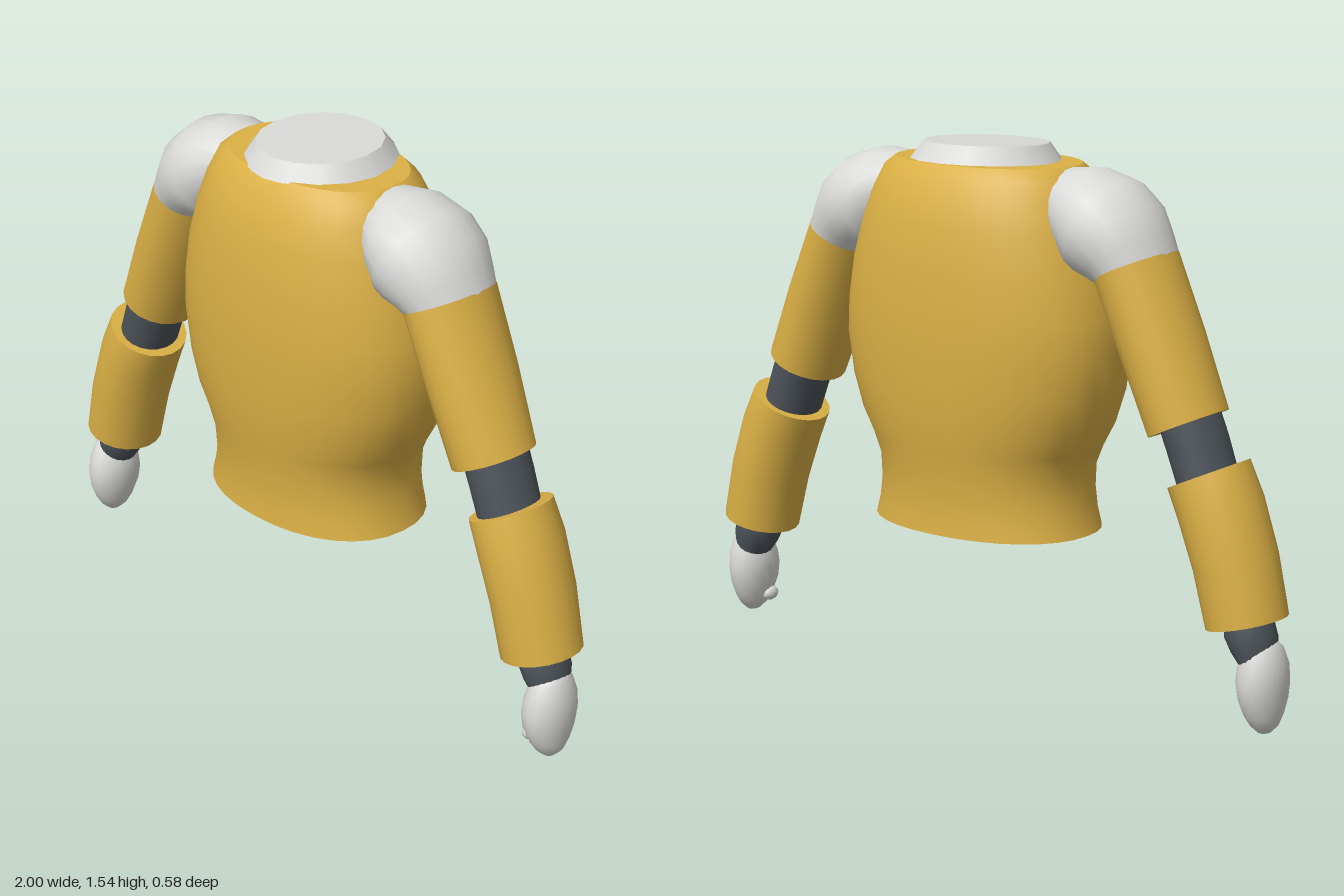
import * as THREE from 'three';

const flat = (name, color) => {
  const m = new THREE.MeshStandardMaterial({ color });
  m.name = name;
  return m;
};

// Capped loft. Each section: [x, y, angle of its in-plane radius in degrees, in-plane radius, z radius, z offset]
function loft(sections, { sides = 20, power = 2, side = 1 } = {}) {
  const pos = [], idx = [];
  const bend = (v) => Math.sign(v) * Math.pow(Math.abs(v), 2 / power);
  const ring = ([x, y, deg, r, rz, z = 0]) => {
    const a = THREE.MathUtils.degToRad(deg);
    for (let j = 0; j < sides; j++) {
      const t = (j / sides) * Math.PI * 2;
      const u = bend(Math.cos(t)) * r;
      pos.push(side * (x + Math.cos(a) * u), y + Math.sin(a) * u, z + bend(Math.sin(t)) * rz);
    }
  };
  const tri = (a, b, c) => (side > 0 ? idx.push(a, b, c) : idx.push(a, c, b));
  sections.forEach(ring);
  for (let i = 0; i < sections.length - 1; i++) {
    for (let j = 0; j < sides; j++) {
      const k = (j + 1) % sides;
      const a = i * sides + j, b = i * sides + k;
      tri(a, b, a + sides);
      tri(b, b + sides, a + sides);
    }
  }
  // End caps get their own vertices so the rims stay sharp
  [sections[0], sections[sections.length - 1]].forEach((s, end) => {
    const base = pos.length / 3;
    ring(s);
    pos.push(side * s[0], s[1], s[5] || 0);
    for (let j = 0; j < sides; j++) {
      const k = (j + 1) % sides;
      if (end) tri(base + sides, base + j, base + k);
      else tri(base + sides, base + k, base + j);
    }
  });
  const g = new THREE.BufferGeometry();
  g.setAttribute('position', new THREE.Float32BufferAttribute(pos, 3));
  g.setIndex(idx);
  g.computeVertexNormals();
  return g;
}

export function createModel() {
  const gold = flat('gold', 0xdbb045);
  const white = flat('white', 0xd9d9d7);
  const dark = flat('darkGrey', 0x4c5359);

  const model = new THREE.Group();
  model.name = 'upperBody';
  const add = (parent, name, geometry, material) => {
    const mesh = new THREE.Mesh(geometry, material);
    mesh.name = name;
    parent.add(mesh);
    return mesh;
  };

  // Torso: y, half width, half depth from the neck down to the hem
  const torso = [
    [1.487, 0.29, 0.19], [1.46, 0.325, 0.215], [1.4, 0.355, 0.245], [1.32, 0.385, 0.268],
    [1.2, 0.42, 0.284], [1.08, 0.44, 0.29], [0.98, 0.445, 0.29], [0.86, 0.425, 0.285],
    [0.76, 0.39, 0.276], [0.69, 0.35, 0.264], [0.63, 0.325, 0.255], [0.56, 0.325, 0.247],
    [0.5, 0.335, 0.246], [0.45, 0.35, 0.25],
  ].map(([y, w, d]) => [0, y, 0, w, d]);
  add(model, 'torso', loft(torso, { sides: 32, power: 2.2 }), gold);

  // Collar, slightly higher at the back
  const collar = add(model, 'collar', new THREE.CylinderGeometry(0.178, 0.215, 0.05, 16).toNonIndexed(), white);
  collar.position.set(0, 1.512, -0.008);
  collar.rotation.x = 0.035;

  for (const side of [1, -1]) {
    const arm = new THREE.Group();
    arm.name = side > 0 ? 'leftArm' : 'rightArm';
    model.add(arm);
    const part = (name, sections, material) => add(arm, name, loft(sections, { side }), material);

    part('shoulderPad', [
      [0.24, 1.39, 90, 0.08, 0.08], [0.28, 1.385, 88, 0.1, 0.12], [0.35, 1.365, 78, 0.13, 0.162],
      [0.405, 1.335, 62, 0.148, 0.176], [0.45, 1.3, 47, 0.143, 0.172],
      [0.485, 1.26, 33, 0.122, 0.155], [0.51, 1.228, 25, 0.11, 0.143],
    ], white);
    part('upperArm', [
      [0.508, 1.235, 25, 0.109, 0.146], [0.6, 1.025, 25, 0.111, 0.139], [0.685, 0.823, 25, 0.111, 0.125],
    ], gold);
    part('elbow', [
      [0.675, 0.87, 24, 0.08, 0.1], [0.715, 0.775, 21, 0.081, 0.098], [0.765, 0.64, 20, 0.08, 0.095],
    ], dark);
    part('forearm', [
      [0.753, 0.695, 25, 0.118, 0.12], [0.795, 0.605, 22, 0.117, 0.128],
      [0.845, 0.465, 17, 0.115, 0.125], [0.885, 0.303, 14, 0.113, 0.118],
    ], gold);
    part('wrist', [
      [0.88, 0.34, 20, 0.062, 0.065], [0.892, 0.285, 24, 0.07, 0.075],
      [0.91, 0.245, 25, 0.066, 0.072], [0.925, 0.2, 24, 0.05, 0.06],
    ], dark);
    part('hand', [
      [0.926, 0.242, 20, 0.045, 0.055, 0.005], [0.929, 0.225, 18, 0.056, 0.068, 0.008],
      [0.932, 0.185, 8, 0.066, 0.083, 0.01], [0.932, 0.14, 0, 0.067, 0.089, 0.011],
      [0.933, 0.095, 0, 0.062, 0.083, 0.012], [0.936, 0.05, 0, 0.051, 0.064, 0.012],
      [0.939, 0.02, 0, 0.038, 0.044, 0.012], [0.94, 0.0, 0, 0.018, 0.022, 0.012],
    ], white);
  }

  // Thumb tip on the left hand
  const thumb = add(model, 'thumb', new THREE.SphereGeometry(0.022, 12, 8), white);
  thumb.scale.set(1, 1, 1.4);
  thumb.position.set(0.887, 0.052, 0.03);

  return model;
}
